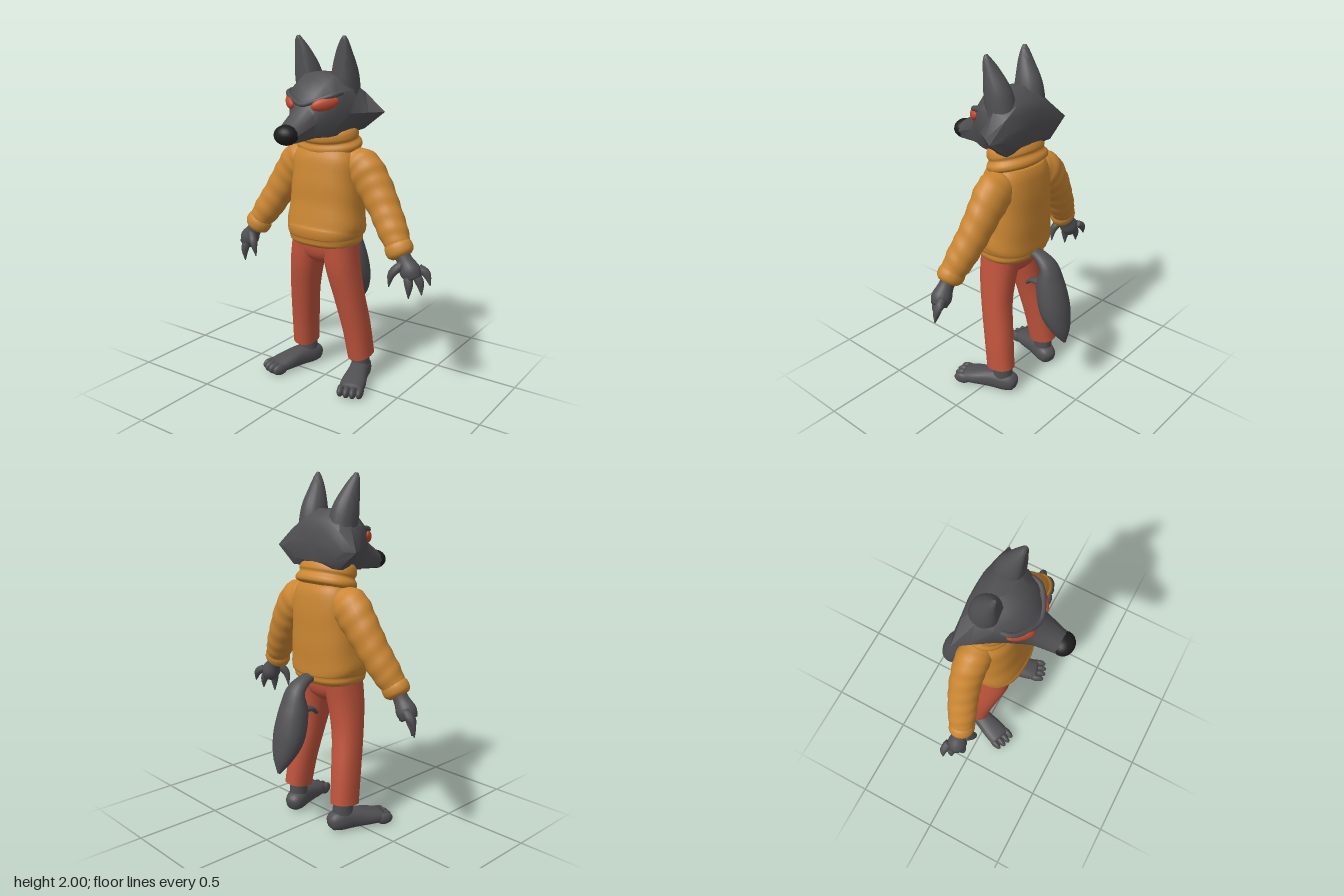
import * as THREE from 'three';
import { toCreasedNormals } from 'three/addons/utils/BufferGeometryUtils.js';

const flat = (name, color, side = THREE.FrontSide) => {
  const m = new THREE.MeshStandardMaterial({ color, side });
  m.name = name;
  return m;
};

// Joins equal-sized closed rings into a skin and closes both ends
function skin(rings, caps = true) {
  const n = rings[0].length, all = rings.slice();
  if (caps) {
    const middle = (r) => {
      const c = r.reduce((s, v) => s.add(v), new THREE.Vector3()).divideScalar(n);
      return r.map(() => c);
    };
    all.unshift(middle(rings[0]));
    all.push(middle(rings[rings.length - 1]));
  }
  const pos = [], idx = [];
  all.forEach((r) => r.forEach((v) => pos.push(v.x, v.y, v.z)));
  for (let i = 0; i < all.length - 1; i++) {
    for (let j = 0; j < n; j++) {
      const a = i * n + j, b = i * n + (j + 1) % n;
      idx.push(a, b, a + n, b, b + n, a + n);
    }
  }
  const g = new THREE.BufferGeometry();
  g.setAttribute('position', new THREE.Float32BufferAttribute(pos, 3));
  g.setIndex(idx);
  g.computeVertexNormals();
  return g;
}

// Smooth loft through rows of [x, y, z, halfWidth, halfDepth]
function loft(rows, { n = 20, sub = 4, power = 2, caps = true, fold = 0, folds = 30 } = {}) {
  const curve = (f) => new THREE.CatmullRomCurve3(rows.map(f), false, 'catmullrom');
  const path = curve((r) => new THREE.Vector3(r[0], r[1], r[2]));
  const size = curve((r) => new THREE.Vector3(r[3], r[4], 0));
  const steps = (rows.length - 1) * sub, rings = [];
  const bend = (v) => Math.sign(v) * Math.abs(v) ** (2 / power);
  for (let i = 0; i <= steps; i++) {
    const t = i / steps, c = path.getPoint(t), s = size.getPoint(t);
    const T = path.getTangent(t);
    const A = new THREE.Vector3(1, 0, 0).addScaledVector(T, -T.x).normalize();
    const B = new THREE.Vector3().crossVectors(T, A);
    const ring = [];
    for (let j = 0; j < n; j++) {
      const q = (j / n) * Math.PI * 2;
      const k = 1 + fold * Math.sin(t * folds + 2 * Math.sin(q));
      ring.push(c.clone()
        .addScaledVector(A, Math.max(s.x, 0.001) * k * bend(Math.cos(q)))
        .addScaledVector(B, Math.max(s.y, 0.001) * k * bend(Math.sin(q))));
    }
    rings.push(ring);
  }
  return skin(rings, caps);
}

export function createModel() {
  const model = new THREE.Group();
  const fur = flat('grey fur', 0x505053);
  const wool = flat('ochre wool', 0xca8632);
  const cloth = flat('red cloth', 0xbe533c, THREE.DoubleSide);
  const iris = flat('red eye', 0xc24a31);
  const black = flat('black nose', 0x1d1d1e);
  const add = (name, geometry, material, parent = model) => {
    const m = new THREE.Mesh(geometry, material);
    m.name = name;
    parent.add(m);
    return m;
  };
  const mirror = (rows, s) => rows.map(([x, ...rest]) => [x * s, ...rest]);
  const ball = (name, material, p, r, parent) => {
    const m = add(name, new THREE.SphereGeometry(1, 20, 14), material, parent);
    m.position.set(...p);
    m.scale.set(...r);
    return m;
  };

  // Head: half outlines from crown to chin at steps from back to muzzle
  const stations = [
    [-0.142, [[0, 1.71], [0.08, 1.70], [0.15, 1.65], [0.24, 1.60], [0.14, 1.54], [0, 1.53]]],
    [-0.12, [[0, 1.76], [0.10, 1.75], [0.185, 1.70], [0.31, 1.60], [0.18, 1.50], [0, 1.51]]],
    [-0.04, [[0, 1.81], [0.11, 1.81], [0.19, 1.73], [0.255, 1.60], [0.16, 1.49], [0, 1.49]]],
    [0.05, [[0, 1.81], [0.10, 1.80], [0.185, 1.72], [0.197, 1.60], [0.13, 1.48], [0, 1.48]]],
    [0.12, [[0, 1.77], [0.09, 1.76], [0.155, 1.70], [0.155, 1.59], [0.11, 1.475], [0, 1.47]]],
    [0.18, [[0, 1.715], [0.06, 1.70], [0.10, 1.655], [0.11, 1.57], [0.085, 1.48], [0, 1.465]]],
    [0.215, [[0, 1.64], [0.04, 1.632], [0.075, 1.60], [0.09, 1.55], [0.07, 1.475], [0, 1.46]]],
    [0.35, [[0, 1.553], [0.03, 1.548], [0.053, 1.53], [0.065, 1.50], [0.048, 1.463], [0, 1.45]]],
  ];
  const headRings = stations.map(([z, half]) => [
    ...half.map(([x, y]) => new THREE.Vector3(-x, y, z)),
    ...half.slice(1, -1).reverse().map(([x, y]) => new THREE.Vector3(x, y, z)),
  ]);
  add('head', toCreasedNormals(skin(headRings), 0.75), fur);
  ball('nose', black, [0, 1.505, 0.35], [0.068, 0.054, 0.06]);
  const browLine = [[-0.165, 1.71, 0.08], [-0.15, 1.7, 0.135], [-0.075, 1.672, 0.19], [0, 1.65, 0.212],
    [0.075, 1.672, 0.19], [0.15, 1.7, 0.135], [0.165, 1.71, 0.08]].map((p) => new THREE.Vector3(...p));
  add('brow', new THREE.TubeGeometry(new THREE.CatmullRomCurve3(browLine), 40, 0.014, 8), fur);

  // Sweater body with rolled hem, and folded collar
  add('sweaterBody', loft([
    [0, 0.85, -0.01, 0.19, 0.145], [0, 0.87, -0.01, 0.212, 0.16], [0, 0.90, -0.01, 0.215, 0.165],
    [0, 0.92, -0.01, 0.222, 0.176], [0, 0.96, -0.015, 0.23, 0.172], [0, 1.08, -0.025, 0.218, 0.163],
    [0, 1.22, -0.03, 0.208, 0.157], [0, 1.34, -0.035, 0.2, 0.143], [0, 1.41, -0.035, 0.165, 0.118],
  ], { n: 36, power: 2.5, fold: 0.006, folds: 40 }), wool);
  add('collar', loft([
    [0, 1.385, -0.05, 0.16, 0.11], [0, 1.40, -0.046, 0.195, 0.137], [0, 1.425, -0.04, 0.2, 0.14],
    [0, 1.45, -0.034, 0.182, 0.126], [0, 1.47, -0.029, 0.187, 0.133], [0, 1.5, -0.022, 0.182, 0.127],
    [0, 1.525, -0.016, 0.165, 0.11],
  ], { n: 32 }), wool);

  // Trouser seat
  add('trouserSeat', loft([
    [0, 0.735, -0.005, 0.05, 0.06], [0, 0.77, -0.005, 0.14, 0.1],
    [0, 0.82, -0.005, 0.194, 0.12], [0, 0.9, -0.005, 0.198, 0.125],
  ], { n: 28, power: 2.3 }), cloth);

  // Tail, bushy in the middle, with a small spur at its root
  add('tail', loft([
    [0, 0.89, -0.14, 0.035, 0.025], [0, 0.875, -0.21, 0.045, 0.032], [0, 0.82, -0.275, 0.065, 0.045],
    [0, 0.71, -0.29, 0.09, 0.08], [0, 0.57, -0.327, 0.098, 0.082], [0, 0.46, -0.372, 0.065, 0.05],
    [0, 0.375, -0.402, 0.008, 0.008],
  ]), fur);
  add('tailSpur', loft([
    [0, 0.665, -0.115, 0.012, 0.01], [0, 0.7, -0.16, 0.025, 0.015], [0, 0.71, -0.25, 0.035, 0.025],
  ], { n: 12 }), fur);

  for (const s of [1, -1]) {
    const side = s > 0 ? 'left' : 'right';

    // Ear, flat on its front
    const ear = loft(mirror([
      [0.115, 1.68, -0.035, 0.08, 0.085], [0.122, 1.8, -0.012, 0.072, 0.08],
      [0.134, 1.9, 0.016, 0.05, 0.05], [0.147, 1.97, 0.036, 0.026, 0.024], [0.15, 2.0, 0.041, 0.009, 0.009],
    ], s));
    const p = ear.attributes.position;
    for (let i = 0; i < p.count; i++) p.setZ(i, Math.min(p.getZ(i), 0.053));
    add(side + 'Ear', toCreasedNormals(ear, 0.8), fur);

    // Eye
    const eye = ball(side + 'Eye', iris, [0.113 * s, 1.655, 0.164], [0.076, 0.036, 0.026]);
    eye.rotation.set(0, 0.8 * s, 0.22 * s, 'YXZ');

    // Sleeve with wrinkles, and cuff
    add(side + 'Sleeve', loft(mirror([
      [0.13, 1.33, -0.045, 0.08, 0.08], [0.21, 1.29, -0.055, 0.115, 0.095], [0.29, 1.2, -0.055, 0.104, 0.09],
      [0.37, 1.08, -0.04, 0.09, 0.085], [0.44, 0.97, -0.015, 0.083, 0.08], [0.5, 0.88, 0.005, 0.062, 0.062],
    ], s), { n: 24, sub: 9, fold: 0.022, folds: 48 }), wool);
    add(side + 'Cuff', loft(mirror([
      [0.465, 0.925, 0, 0.066, 0.062], [0.482, 0.9, 0.004, 0.08, 0.073],
      [0.502, 0.872, 0.008, 0.077, 0.07], [0.513, 0.855, 0.01, 0.056, 0.054],
    ], s)), wool);

    // Hand: palm, three fingers and thumb, all with pointed claws
    const hand = new THREE.Group();
    hand.name = side + 'Hand';
    model.add(hand);
    add('palm', loft(mirror([
      [0.495, 0.885, 0.005, 0.042, 0.04], [0.53, 0.83, 0.01, 0.045, 0.043],
      [0.562, 0.782, 0.01, 0.058, 0.056], [0.585, 0.742, 0.01, 0.045, 0.045],
    ], s)), fur, hand);
    const fingers = [
      [[0.59, 0.795, -0.03], [0.635, 0.765, -0.04], [0.662, 0.705, -0.035]],
      [[0.585, 0.77, 0.0], [0.615, 0.72, -0.005], [0.63, 0.655, 0.0]],
      [[0.56, 0.765, 0.035], [0.575, 0.71, 0.045], [0.575, 0.638, 0.045]],
      [[0.53, 0.82, 0.035], [0.485, 0.77, 0.068], [0.466, 0.69, 0.07]],
    ];
    fingers.forEach((f, i) => {
      const r = [0.024, 0.023, 0.003];
      add(i < 3 ? 'finger' : 'thumb', loft(mirror(f.map((q, k) => [...q, r[k], r[k]]), s), { n: 10 }), fur, hand);
    });

    // Trouser leg, open at the hem
    add(side + 'TrouserLeg', loft(mirror([
      [0.2, 0.165, -0.085, 0.07, 0.085], [0.183, 0.35, -0.058, 0.076, 0.087], [0.155, 0.55, -0.02, 0.083, 0.09],
      [0.125, 0.72, -0.002, 0.09, 0.108], [0.1, 0.86, -0.005, 0.097, 0.12],
    ], s), { n: 24, power: 2.3, caps: false }), cloth);

    // Foot turned outward: ankle, sole and four toes
    const foot = new THREE.Group();
    foot.name = side + 'Foot';
    foot.position.set(0.195 * s, 0, -0.085);
    foot.rotation.y = 0.33 * s;
    model.add(foot);
    add('ankle', loft([
      [0, 0.05, 0, 0.058, 0.075], [0, 0.12, -0.008, 0.052, 0.06], [0, 0.24, -0.005, 0.052, 0.056],
    ]), fur, foot);
    add('sole', loft([
      [0, 0.05, -0.098, 0.018, 0.02], [0, 0.055, -0.08, 0.046, 0.045], [0, 0.066, -0.03, 0.06, 0.06],
      [0, 0.065, 0.06, 0.06, 0.058], [0, 0.055, 0.16, 0.072, 0.046], [0, 0.044, 0.235, 0.07, 0.036],
    ], { power: 2.4 }), fur, foot);
    for (let i = 0; i < 4; i++) {
      const x = (i - 1.5) * 0.037;
      ball('toe', fur, [x, 0.04, 0.252 - Math.abs(x) * 0.25], [0.021, 0.034, 0.05], foot);
    }
  }
  return model;
}
